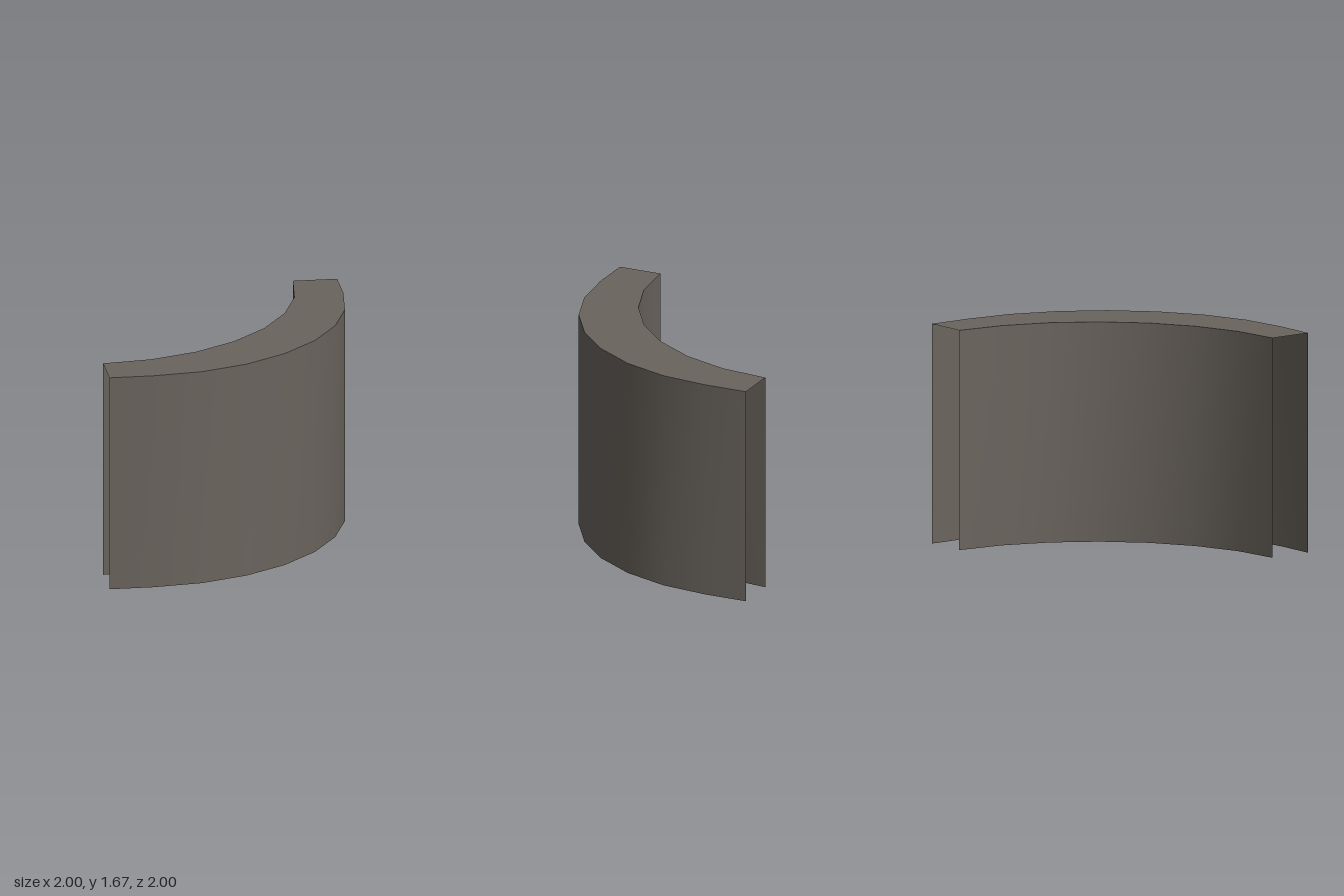
import * as THREE from 'three';

const R = 5 / 3, HEIGHT = 5 / 3, SEGMENTS = 7;

// Quarter arc in plan (x, z), running from the front round to the right side
function arc(centre) {
  return Array.from({ length: SEGMENTS + 1 }, (_, i) => {
    const a = (Math.PI / 2) * (1 - i / SEGMENTS);
    return new THREE.Vector2(centre + R * Math.cos(a), centre + R * Math.sin(a));
  });
}

// Upright sheet along a plan line, smooth along its length
function wallGeometry(points) {
  const positions = [], index = [];
  points.forEach((p, i) => {
    positions.push(p.x, 0, p.y, p.x, HEIGHT, p.y);
    if (i < points.length - 1) {
      const k = 2 * i;
      index.push(k, k + 2, k + 3, k, k + 3, k + 1);
    }
  });
  const g = new THREE.BufferGeometry();
  g.setAttribute('position', new THREE.Float32BufferAttribute(positions, 3));
  g.setIndex(index);
  g.computeVertexNormals();
  return g;
}

export function createModel() {
  const group = new THREE.Group();
  group.name = 'curvedWall';
  const stone = new THREE.MeshStandardMaterial({ color: 0x6a645d, side: THREE.DoubleSide });
  stone.name = 'warm grey stone';

  const add = (name, geometry) => {
    const mesh = new THREE.Mesh(geometry, stone);
    mesh.name = name;
    group.add(mesh);
  };

  // The outer arc has a short straight run at each end
  const inner = arc(-1);
  const outer = [new THREE.Vector2(-1, 1), ...arc(-2 / 3), new THREE.Vector2(1, -1)];
  const innerReversed = [...inner].reverse();

  add('outerWall', wallGeometry(outer));
  add('innerWall', wallGeometry(innerReversed));

  // Flat top between the walls; the ends and bottom stay open
  const outline = [...outer, ...innerReversed].map(p => new THREE.Vector2(p.x, -p.y));
  const top = new THREE.ShapeGeometry(new THREE.Shape(outline));
  top.rotateX(-Math.PI / 2).translate(0, HEIGHT, 0);
  add('topFace', top);

  return group;
}
